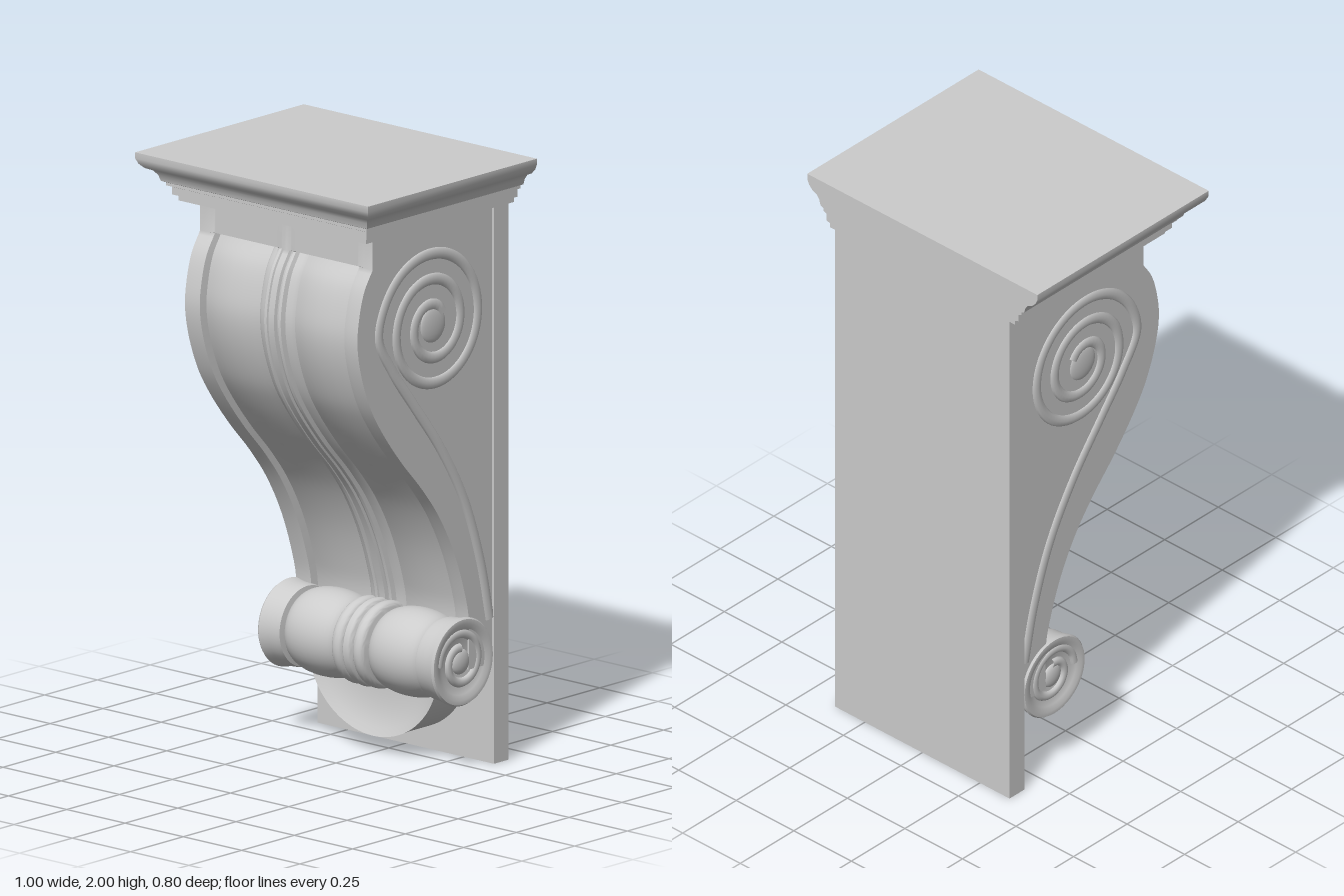
import * as THREE from 'three';
import { toCreasedNormals } from 'three/addons/utils/BufferGeometryUtils.js';

const material = new THREE.MeshStandardMaterial({ color: 0xcccccc });

function add(group, name, geometry, x = 0, y = 0, z = 0) {
  const mesh = new THREE.Mesh(geometry, material);
  mesh.name = name;
  mesh.position.set(x, y, z);
  group.add(mesh);
  return mesh;
}

// Skins rows of [x, y, z] points; rows run downward, columns left to right.
function skin(rows, crease = 0.6) {
  const n = rows[0].length, index = [];
  for (let i = 0; i < rows.length - 1; i++) {
    for (let j = 0; j < n - 1; j++) {
      const a = i * n + j, b = a + 1, c = a + n, d = c + 1;
      index.push(a, c, b, b, c, d);
    }
  }
  const g = new THREE.BufferGeometry();
  g.setAttribute('position', new THREE.Float32BufferAttribute(rows.flat(2), 3));
  g.setIndex(index);
  return toCreasedNormals(g, crease);
}

// Moulded shelf: the profile steps in on the front and both sides, flush at the back
function capGeometry() {
  const profile = [[0, 2], [0, 1.98], [0.008, 1.962], [0.022, 1.948], [0.04, 1.94],
    [0.052, 1.925], [0.058, 1.905], [0.07, 1.9], [0.07, 1.89], [0.083, 1.885],
    [0.083, 1.86], [0.098, 1.855], [0.098, 1.84]];
  const rows = profile.map(([e, y]) => {
    const w = 0.5 - e, f = 0.4 - e;
    return [[-w, y, -0.4], [-w, y, f], [w, y, f], [w, y, -0.4], [-w, y, -0.4]];
  });
  const centre = y => Array.from({ length: 5 }, () => [0, y, 0]);
  return skin([centre(2), ...rows, centre(1.84)], 0.5);
}

// S-shaped body: side silhouette times a fluted cross-section
function bodyGeometry() {
  const curve = new THREE.CatmullRomCurve3([[0.235, 1.735], [0.275, 1.67], [0.3, 1.58],
    [0.307, 1.5], [0.29, 1.4], [0.245, 1.28], [0.19, 1.19], [0.1, 1.075], [0, 0.965],
    [-0.08, 0.86], [-0.15, 0.73], [-0.2, 0.59], [-0.22, 0.5], [-0.22, 0.33],
  ].map(([z, y]) => new THREE.Vector3(0, y, z)));
  // [x, depth] from the centre bead over the cushioned panel to the outer rail
  const half = [[0, 0], [0.012, 0], [0.017, 0.015], [0.022, 0.003], [0.03, 0],
    [0.038, 0.003], [0.044, 0.018], [0.065, 0.022], [0.075, 0.03], [0.1, 0.022],
    [0.14, 0.012], [0.19, 0.008], [0.24, 0.012], [0.28, 0.022], [0.305, 0.03],
    [0.31, 0.004], [0.33, 0], [0.37, 0]];
  const section = [...half.slice(1).reverse().map(([x, d]) => [-x, d]), ...half];
  const row = (y, z, k) => [[-0.37, y, -0.34],
    ...section.map(([x, d]) => [x, y, z - d * k]), [0.37, y, -0.34]];
  const rows = [row(1.85, 0.235, 0), row(1.737, 0.235, 0)];
  for (const p of curve.getPoints(70)) rows.push(row(p.y, p.z, 1));
  return skin(rows);
}

// Turned roller: flared ends, two ovoid beads and three central rings
function rollerGeometry() {
  const half = [];
  for (let i = 0; i <= 6; i++) { // half of the middle ring
    const t = i / 6 * Math.PI / 2;
    half.push([0.02 * Math.sin(t), 0.128 + 0.017 * Math.cos(t)]);
  }
  for (let i = 0; i <= 10; i++) { // side ring
    const t = i / 10 * Math.PI;
    half.push([0.045 - 0.023 * Math.cos(t), 0.126 + 0.017 * Math.sin(t)]);
  }
  for (let i = 0; i <= 16; i++) { // ovoid bead
    const t = i / 16 * Math.PI;
    half.push([0.18 - 0.108 * Math.cos(t), 0.108 + 0.036 * Math.sin(t)]);
  }
  half.push([0.292, 0.132], [0.305, 0.135], [0.335, 0.137], [0.36, 0.143], [0.37, 0.145],
    [0.377, 0.14], [0.378, 0.125], [0.37, 0.108], [0.364, 0.09], [0.362, 0]);
  const pts = [...half.slice(1).reverse().map(([x, r]) => [-x, r]), ...half];
  const g = new THREE.LatheGeometry(pts.map(([x, r]) => new THREE.Vector2(r, x)), 48);
  return toCreasedNormals(g.rotateZ(-Math.PI / 2), 0.7);
}

// Rounded lobe under the roller, its face flaring forward to the rim
function lobeGeometry() {
  const arc = (u, z) => Array.from({ length: 41 }, (_, j) => {
    const t = Math.PI * (1 + j / 40);
    return [0.28 * u * Math.cos(t), 0.32 + 0.265 * u * Math.sin(t), z];
  });
  const rows = [];
  for (let i = 0; i <= 10; i++) rows.push(arc(i / 10, -0.215 + 0.04 * (i / 10) ** 4));
  rows.push(arc(0.99, -0.21), arc(0.99, -0.34));
  return skin(rows);
}

// Flattened bead following a path of [z, y] points in the side plane
function beadGeometry(path, radius, flatten) {
  const curve = new THREE.CatmullRomCurve3(path.map(([z, y]) => new THREE.Vector3(0, y, z)));
  return new THREE.TubeGeometry(curve, path.length * 5, radius, 8).scale(flatten, 1, 1);
}

// Inward spiral, starting on the front side and passing over the top
function spiral(cz, cy, outer, inner, turns) {
  const steps = Math.round(turns * 14);
  return Array.from({ length: steps + 1 }, (_, i) => {
    const k = i / steps, a = k * turns * Math.PI * 2;
    const r = outer + (inner - outer) * k;
    return [cz + r * Math.cos(a), cy + r * Math.sin(a)];
  });
}

export function createModel() {
  const group = new THREE.Group();
  group.name = 'scrollBracket';

  add(group, 'topShelf', capGeometry());
  add(group, 'backPlate', new THREE.BoxGeometry(0.758, 1.845, 0.07), 0, 0.9225, -0.365);
  add(group, 'scrollBody', bodyGeometry());
  add(group, 'roller', rollerGeometry(), 0, 0.362, -0.187);
  add(group, 'bottomLobe', lobeGeometry());

  // Side ornament, mirrored
  const tail = [[-0.32, 0.48], [-0.275, 0.68], [-0.2, 0.89], [-0.09, 1.08],
    [0.04, 1.25], [0.14, 1.38]];
  const volute = beadGeometry([...tail, ...spiral(-0.05, 1.5, 0.255, 0.055, 2.4)], 0.02, 0.45);
  const curl = beadGeometry(spiral(0, 0, 0.105, 0.045, 1.25), 0.016, 0.7);
  const button = new THREE.SphereGeometry(1, 24, 12);
  for (const [side, s] of [['left', 1], ['right', -1]]) {
    add(group, side + 'VoluteBead', volute, s * 0.369);
    add(group, side + 'VoluteEye', button, s * 0.368, 1.5, -0.05).scale.set(0.011, 0.06, 0.06);
    add(group, side + 'RollerCurl', curl, s * 0.363, 0.362, -0.187);
    add(group, side + 'RollerEye', button, s * 0.362, 0.362, -0.187).scale.set(0.015, 0.042, 0.042);
  }
  return group;
}
